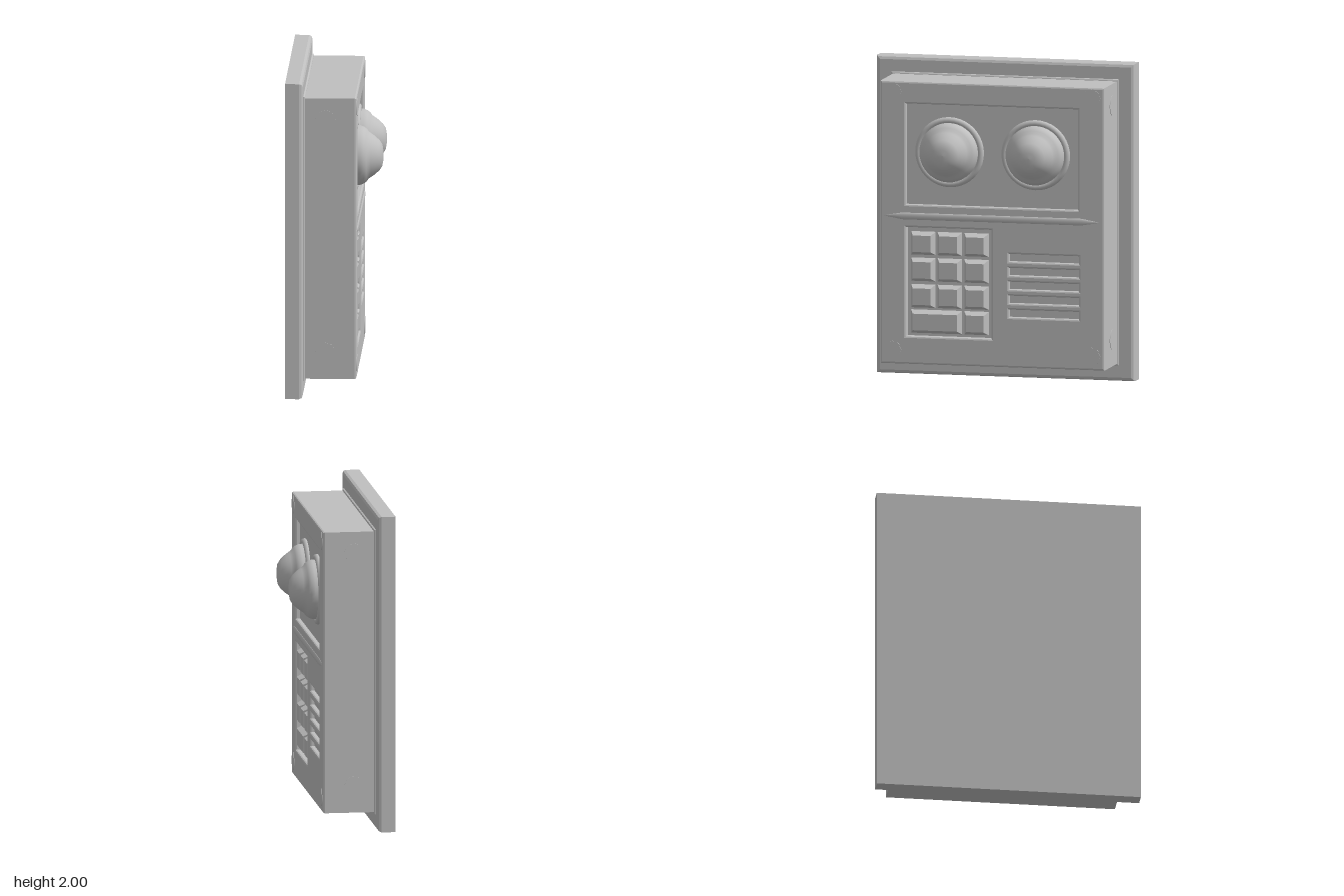
import * as THREE from 'three';

const grey = new THREE.MeshStandardMaterial({ color: 0xbfbfbf });
grey.name = 'plain grey';

// Everything is laid out facing local +z, then the whole panel is turned to face +x.
function add(parent, name, geometry, x = 0, y = 0, z = 0) {
  const mesh = new THREE.Mesh(geometry, grey);
  mesh.name = name;
  mesh.position.set(x, y, z);
  parent.add(mesh);
  return mesh;
}

function rectangle(path, [x0, x1, y0, y1]) {
  path.moveTo(x0, y0);
  path.lineTo(x1, y0);
  path.lineTo(x1, y1);
  path.lineTo(x0, y1);
  path.closePath();
  return path;
}

// Slab from z = back to z = front, with chamfered rims on the outline and holes
function slab(bounds, holes, back, front, bevel) {
  const shape = rectangle(new THREE.Shape(), bounds);
  for (const h of holes) shape.holes.push(rectangle(new THREE.Path(), h));
  const geometry = new THREE.ExtrudeGeometry(shape, {
    depth: front - back - 2 * bevel, bevelEnabled: true, bevelSegments: 2,
    bevelSize: bevel, bevelThickness: bevel, bevelOffset: -bevel,
  });
  return geometry.translate(0, 0, back + bevel);
}

// Box whose front face is shrunk by a margin on every side
function taperedKey(w, h, d, margin) {
  const geometry = new THREE.BoxGeometry(w, h, d).toNonIndexed();
  const p = geometry.attributes.position;
  for (let i = 0; i < p.count; i++) {
    if (p.getZ(i) > 0) {
      p.setX(i, p.getX(i) - Math.sign(p.getX(i)) * margin);
      p.setY(i, p.getY(i) - Math.sign(p.getY(i)) * margin);
    }
  }
  geometry.computeVertexNormals();
  return geometry;
}

export function createModel() {
  const model = new THREE.Group();
  model.name = 'intercomPanel';
  const panel = new THREE.Group();
  panel.name = 'panel';
  panel.rotation.y = Math.PI / 2;
  model.add(panel);

  // Wall plate: square back edge, chamfered front edge
  add(panel, 'wallPlateBack', new THREE.BoxGeometry(1.66, 2, 0.08), 0, 1, -0.26);
  add(panel, 'wallPlateFront', slab([-0.83, 0.83, 0, 2], [], -0.27, -0.19, 0.022));

  // Body with sunken windows
  const front = 0.142;
  const windowHole = [-0.557, 0.549, 1.115, 1.75];
  const keypadHole = [-0.557, -0.008, 0.285, 0.972];
  const slots = [];
  for (let i = 0; i < 5; i++) {
    const y = 0.45 + i * 0.0877;
    slots.push([0.105, 0.554, y - 0.024, y + 0.024]);
  }
  add(panel, 'body', slab([-0.72, 0.72, 0.11, 1.89], [windowHole, keypadHole, ...slots], -0.2, front, 0.011));
  add(panel, 'bodySkirt', slab([-0.732, 0.732, 0.098, 1.902], [], -0.2, -0.178, 0.01));

  // Floors of the sunken areas
  const floor = (name, [x0, x1, y0, y1], z) =>
    add(panel, name, new THREE.BoxGeometry(x1 - x0 + 0.02, y1 - y0 + 0.02, 0.1),
      (x0 + x1) / 2, (y0 + y1) / 2, z - 0.05);
  floor('lensFloor', windowHole, 0.11);
  floor('keypadFloor', keypadHole, 0.092);
  slots.forEach((s) => floor('speakerSlotFloor', s, 0.11));

  // Two stepped domes with rings
  const profile = [[0.186, 0], [0.186, 0.045], [0.176, 0.068], [0.163, 0.085], [0.147, 0.095],
    [0.136, 0.112], [0.12, 0.134], [0.095, 0.162], [0.068, 0.18], [0.035, 0.186], [0, 0.188]]
    .map(([r, h]) => new THREE.Vector2(r, h));
  for (const x of [-0.282, 0.272]) {
    const dome = new THREE.LatheGeometry(profile, 40).rotateX(Math.PI / 2);
    add(panel, 'dome', dome, x, 1.45, 0.107);
    add(panel, 'domeRing', new THREE.TorusGeometry(0.2, 0.021, 10, 40), x, 1.45, 0.116);
  }

  // Divider ridge with pointed ends
  const ridge = [[0, -0.703], [0.022, -0.575], [0.022, 0.575], [0, 0.703]]
    .map(([r, h]) => new THREE.Vector2(r, h));
  add(panel, 'dividerRidge', new THREE.LatheGeometry(ridge, 12).rotateZ(Math.PI / 2).scale(1, 1, 0.4),
    -0.005, 1.042, front - 0.001);

  // Keypad: three rows of three keys, then a wide key and a single key
  const keyX = [-0.457, -0.287, -0.115];
  const keyY = [0.868, 0.702, 0.535, 0.375];
  const key = (x, y, w) => add(panel, 'key', taperedKey(w, 0.152, 0.05, 0.024), x, y, 0.112);
  keyY.slice(0, 3).forEach((y) => keyX.forEach((x) => key(x, y, 0.162)));
  key((keyX[0] + keyX[1]) / 2, keyY[3], 0.332);
  key(keyX[2], keyY[3], 0.162);

  // Corner bolts on the front
  for (const x of [-0.643, 0.637]) {
    for (const y of [0.197, 1.823]) {
      add(panel, 'frontBolt', new THREE.CylinderGeometry(0.057, 0.057, 0.008, 8).rotateX(Math.PI / 2), x, y, front - 0.001);
    }
  }

  // Bolts on both side walls
  for (const side of [-1, 1]) {
    for (const y of [0.28, 1.755]) {
      add(panel, 'sideBolt', new THREE.CylinderGeometry(0.063, 0.063, 0.008, 8).rotateZ(Math.PI / 2), side * 0.719, y, -0.053);
    }
  }

  return model;
}
